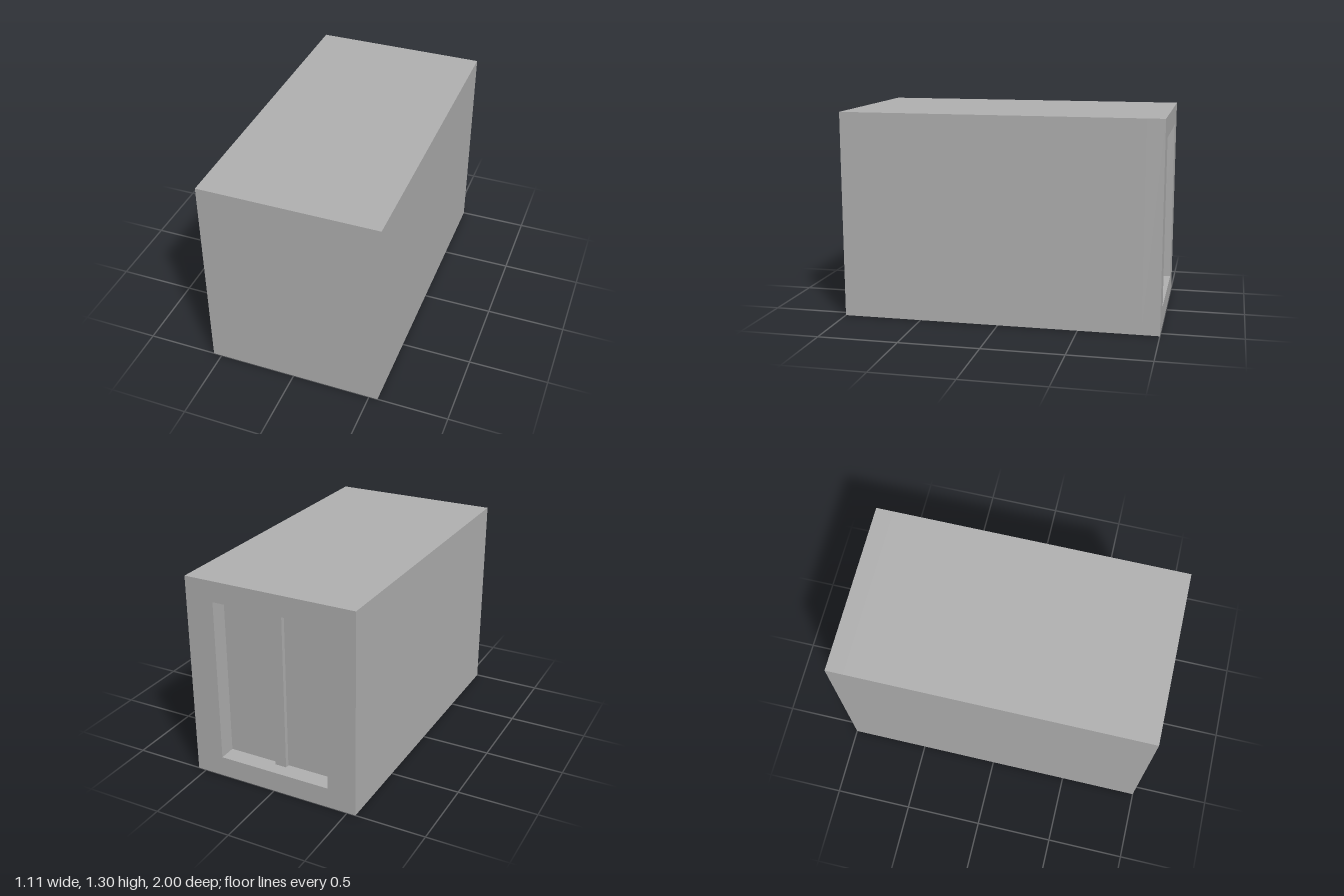
import * as THREE from 'three';

const W = 1.11, H = 1.305, L = 2;          // overall size
const OW = 0.74, OH = 1.044, DEPTH = 0.111; // recess in the back

export function createModel() {
  const group = new THREE.Group();
  const grey = new THREE.MeshStandardMaterial({ color: 0xb2b2b2 });
  grey.name = 'grey';

  const add = (name, geometry, x, y, z) => {
    const mesh = new THREE.Mesh(geometry, grey);
    mesh.name = name;
    mesh.position.set(x, y, z);
    group.add(mesh);
  };

  const rectangle = (path, w, h) => {
    path.moveTo(-w / 2, -h / 2);
    path.lineTo(w / 2, -h / 2);
    path.lineTo(w / 2, h / 2);
    path.lineTo(-w / 2, h / 2);
    path.closePath();
    return path;
  };

  // Solid body, ending at the floor of the recess
  add('body', new THREE.BoxGeometry(W, H, L - DEPTH), 0, H / 2, DEPTH / 2);

  // Frame around the recess on the back
  const outline = rectangle(new THREE.Shape(), W, H);
  outline.holes.push(rectangle(new THREE.Path(), OW, OH));
  const frame = new THREE.ExtrudeGeometry(outline, { depth: DEPTH, bevelEnabled: false });
  add('backFrame', frame, 0, H / 2, -L / 2);

  // Upright bar down the middle of the recess
  const bar = 0.028;
  add('centreBar', new THREE.BoxGeometry(0.076, OH, bar), 0, H / 2, -L / 2 + DEPTH - bar / 2);

  return group;
}
